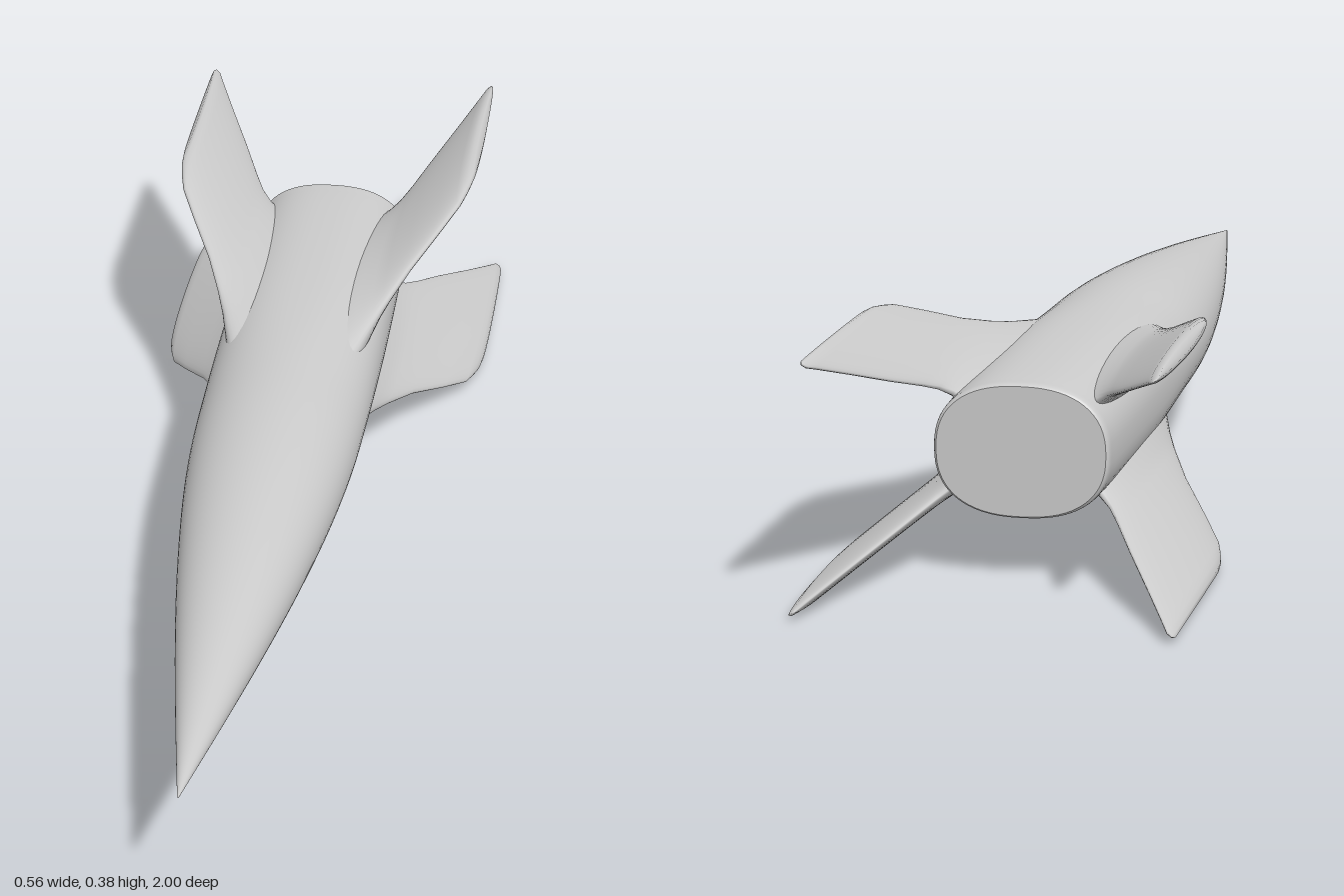
import * as THREE from 'three';

const material = new THREE.MeshStandardMaterial({ color: 0xcccccc });

// Smooth skin through closed rings; point(i, angle) returns [x, y, z]
function loft(name, rings, sides, point) {
  const pos = [], index = [];
  for (let i = 0; i < rings; i++) {
    for (let j = 0; j < sides; j++) {
      pos.push(...point(i, (j / sides) * Math.PI * 2));
      if (i === rings - 1) continue;
      const k = (j + 1) % sides, a = i * sides, b = a + sides;
      index.push(a + j, b + j, a + k, a + k, b + j, b + k);
    }
  }
  const geometry = new THREE.BufferGeometry();
  geometry.setAttribute('position', new THREE.Float32BufferAttribute(pos, 3));
  geometry.setIndex(index);
  geometry.computeVertexNormals();
  const mesh = new THREE.Mesh(geometry, material);
  mesh.name = name;
  return mesh;
}

// Fuselage profile: z, half width
const profile = [
  [1, 0.001], [0.8, 0.036], [0.6, 0.069], [0.4, 0.098], [0.2, 0.121], [0.05, 0.132],
  [-0.1, 0.136], [-0.3, 0.137], [-0.55, 0.135], [-0.7, 0.132], [-0.725, 0.13], [-0.73, 0.126],
];
const CENTRE_Y = 0.2, FLATTEN = 0.77;

// Flattened oval that gets slightly squarer towards the tail
function bodyPoint(z, r, a) {
  const n = 2 + 0.4 * THREE.MathUtils.smoothstep(-z, 0.05, 0.4);
  const power = (v) => Math.sign(v) * Math.abs(v) ** (2 / n);
  return [r * power(Math.cos(a)), CENTRE_Y + r * FLATTEN * power(Math.sin(a)), z];
}

// Fin stations: position along the span, leading z, trailing z, half thickness
const stations = [
  [0, -0.13, -0.69, 0.042],
  [0.12, -0.2, -0.695, 0.032],
  [0.22, -0.26, -0.715, 0.024],
  [0.32, -0.31, -0.75, 0.0195],
  [0.5, -0.39, -0.82, 0.0175],
  [0.75, -0.475, -0.91, 0.017],
  [0.93, -0.54, -0.977, 0.0165],
  [0.98, -0.575, -0.997, 0.016],
  [1.02, -0.61, -1, 0.013],
  [1.04, -0.65, -0.99, 0.008],
  [1.04, -0.66, -0.98, 0],
];

// Swept fin from a root point in the body to its tip
function makeFin(name, root, tip) {
  const dir = tip.clone().sub(root);
  const normal = new THREE.Vector2(-dir.y, dir.x).normalize();
  return loft(name, stations.length, 40, (i, a) => {
    const [u, lead, trail, thick] = stations[i];
    const c = root.clone().addScaledVector(dir, u);
    const taper = 1 - 0.25 * (1 - Math.cos(a)) / 2;
    c.addScaledVector(normal, thick * Math.sin(a) * taper);
    return [c.x, c.y, (lead + trail) / 2 + ((lead - trail) / 2) * Math.cos(a)];
  });
}

export function createModel() {
  const group = new THREE.Group();
  group.name = 'rocket';

  // Fuselage, with the profile smoothed by a spline
  const curve = new THREE.CatmullRomCurve3(profile.map(([z, r]) => new THREE.Vector3(r, 0, z)), false, 'centripetal');
  const points = curve.getPoints(77);
  group.add(loft('fuselage', points.length, 64, (i, a) => bodyPoint(points[i].z, points[i].x, a)));

  // Flat tail plate
  group.add(loft('tailPlate', 2, 64, (i, a) => bodyPoint(-0.73, i ? 0 : 0.126, a)));

  // Two pairs of fins; the lower pair reaches further out
  for (const [side, label] of [[1, 'Left'], [-1, 'Right']]) {
    const v = (x, y) => new THREE.Vector2(x * side, y);
    group.add(makeFin('upperFin' + label, v(0.09, 0.26), v(0.247, 0.376)));
    group.add(makeFin('lowerFin' + label, v(0.09, 0.148), v(0.27, 0.018)));
  }
  return group;
}
